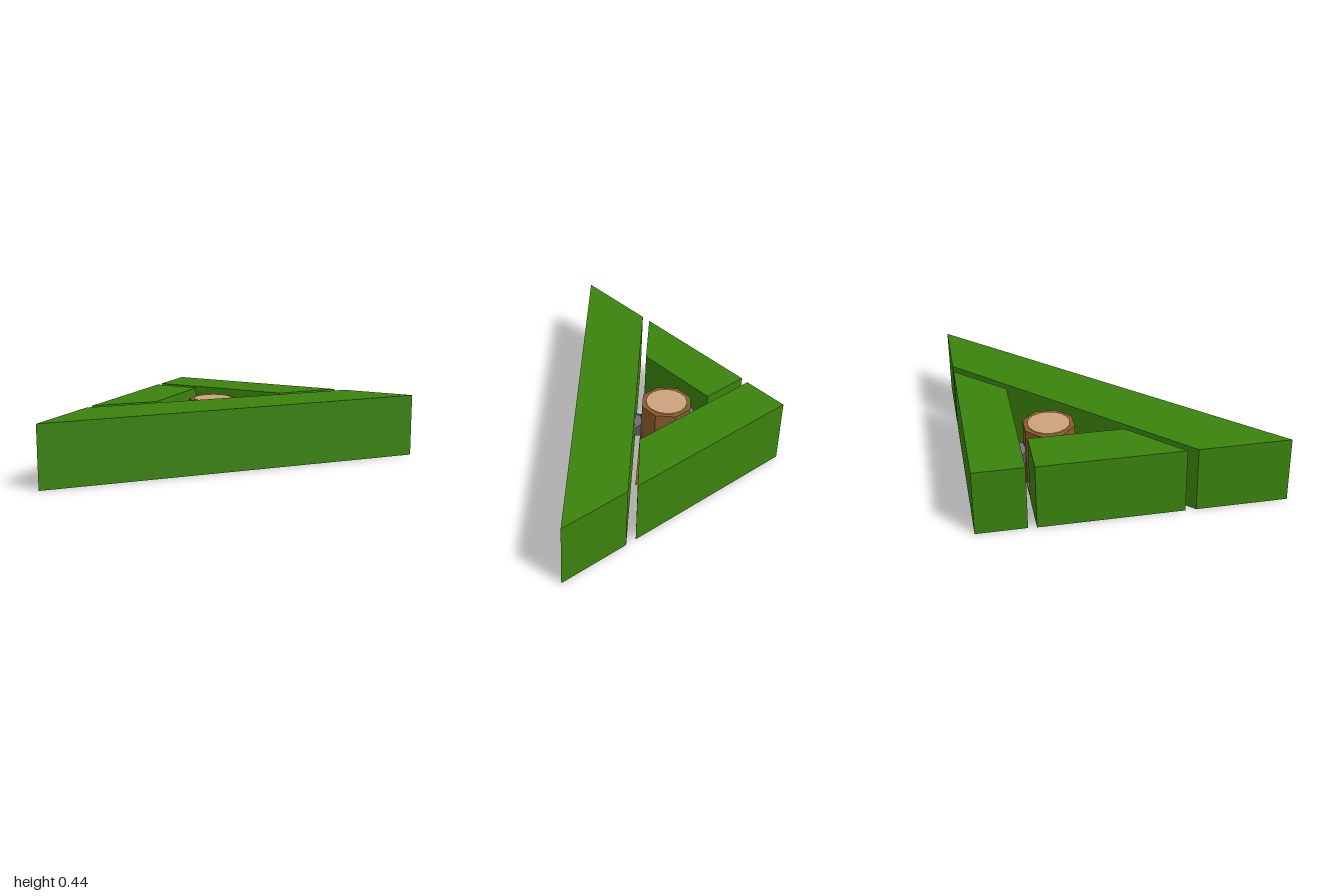
import * as THREE from 'three';

const mat = (name, color) => {
  const m = new THREE.MeshStandardMaterial({ color });
  m.name = name;
  return m;
};

export function createModel() {
  const group = new THREE.Group();
  const hedgeGreen = mat('hedge green', 0x3b830d);
  const barkBrown = mat('bark brown', 0x8b5a2b);
  const cutWood = mat('cut wood', 0xcba27c);
  const stoneGrey = mat('stone grey', 0x55555a);

  const add = (name, geometry, material, x = 0, y = 0, z = 0) => {
    const mesh = new THREE.Mesh(geometry, material);
    mesh.name = name;
    mesh.position.set(x, y, z);
    group.add(mesh);
    return mesh;
  };

  // Upright prism from a plan outline of [x, z] corners
  const prism = (plan, height) => {
    const shape = new THREE.Shape(plan.map(([x, z]) => new THREE.Vector2(x, -z)));
    return new THREE.ExtrudeGeometry(shape, { depth: height, bevelEnabled: false }).rotateX(-Math.PI / 2);
  };

  // Three hedge blocks separated by narrow gaps
  const hedgeHeight = 0.445;
  add('backHedge', prism([[-0.945, -1], [0.35, -1], [0.04, -0.67], [-0.945, -0.67]], hedgeHeight), hedgeGreen);
  add('rightHedge', prism([[-0.95, -0.615], [-0.62, -0.615], [-0.62, 0], [-0.95, 0.33]], hedgeHeight), hedgeGreen);
  add('diagonalHedge', prism([[-0.95, 0.4], [0.43, -1], [0.95, -1], [-0.95, 1]], hedgeHeight), hedgeGreen);

  // Earth floor of the central court
  add('earthFloor', prism([[-0.595, -0.615], [0.01, -0.615], [-0.595, -0.015]], 0.02), barkBrown);

  // Octagonal stump with a pale cut face
  const cx = -0.4, cz = -0.45, top = 0.408;
  const trunk = new THREE.CylinderGeometry(0.174, 0.174, top - 0.005, 8).rotateY(Math.PI / 8).toNonIndexed();
  trunk.computeVertexNormals();
  add('stump', trunk, barkBrown, cx, (top + 0.005) / 2, cz);
  add('stumpCutFace', new THREE.CylinderGeometry(0.138, 0.138, 0.008, 16), cutWood, cx, top + 0.002, cz);

  // Faceted stones on three sides of the stump
  [Math.PI, -Math.PI / 2, Math.PI / 4].forEach((a, i) => {
    const stone = add('stone' + (i + 1), new THREE.DodecahedronGeometry(0.09, 0), stoneGrey,
      cx + Math.cos(a) * 0.205, 0.2, cz + Math.sin(a) * 0.205);
    stone.rotation.y = -a;
  });

  return group;
}
